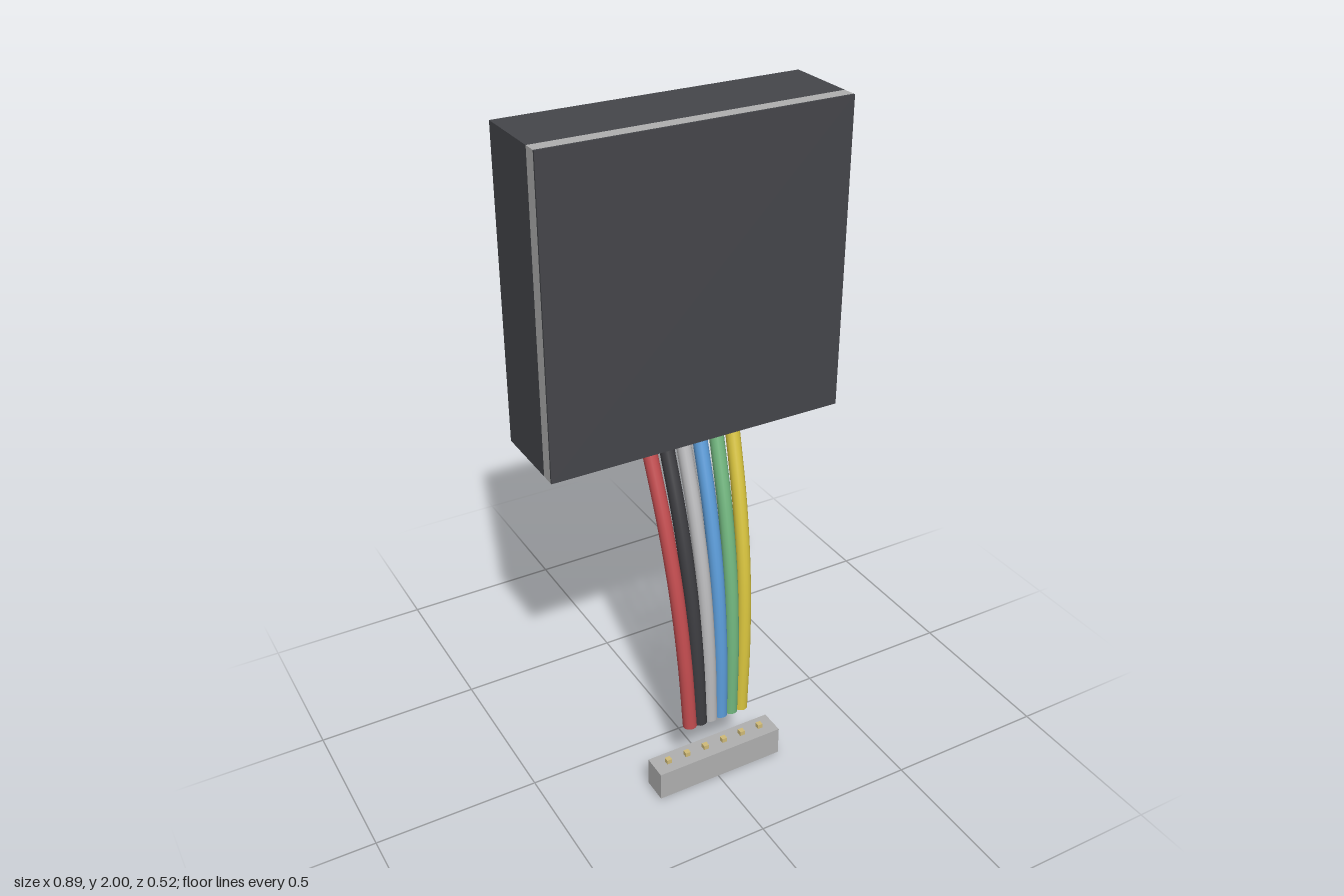
import * as THREE from 'three';

const mat = (color) => new THREE.MeshStandardMaterial({ color });

// Box given by its extents along each axis
function block(name, [x0, x1], [y0, y1], [z0, z1], color) {
  const mesh = new THREE.Mesh(new THREE.BoxGeometry(x1 - x0, y1 - y0, z1 - z0), mat(color));
  mesh.position.set((x0 + x1) / 2, (y0 + y1) / 2, (z0 + z1) / 2);
  mesh.name = name;
  return mesh;
}

// Flexible wire bending forward from the case, with closed ends
function wire(name, t, color) {
  const topX = t * 0.132, endX = t * 0.087, radius = 0.021;
  const path = [[1.14, 0.056], [1.08, 0.076], [0.89, 0.136], [0.68, 0.183], [0.45, 0.211], [0.22, 0.222]];
  const points = path.map(([y, z]) =>
    new THREE.Vector3(THREE.MathUtils.mapLinear(y, 1.11, 0.22, topX, endX), y, z));
  const curve = new THREE.CatmullRomCurve3(points);
  const group = new THREE.Group();
  group.name = name;
  group.add(new THREE.Mesh(new THREE.TubeGeometry(curve, 32, radius, 16), mat(color)));
  for (const u of [0, 1]) {
    const cap = new THREE.Mesh(new THREE.CircleGeometry(radius, 16), mat(color));
    cap.position.copy(curve.getPointAt(u));
    const outward = curve.getTangentAt(u).multiplyScalar(u ? 1 : -1);
    cap.quaternion.setFromUnitVectors(new THREE.Vector3(0, 0, 1), outward);
    group.add(cap);
  }
  return group;
}

export function createModel() {
  const model = new THREE.Group();
  model.name = 'sensorModule';

  // Square housing with glass layer and dark front face
  const wide = [-0.445, 0.445], tall = [1.11, 2];
  model.add(
    block('housing', wide, tall, [-0.139, 0.075], 0x45464a),
    block('coverGlass', wide, tall, [0.075, 0.114], 0xb0b0b0),
    block('frontFace', wide, tall, [0.114, 0.12], 0x45464a),
  );

  // Back plate with shield block and small components
  model.add(
    block('backPlate', [-0.43, 0.43], [1.125, 1.985], [-0.155, -0.139], 0xb0b0b0),
    block('shieldBlock', [-0.285, 0.285], [1.27, 1.845], [-0.241, -0.155], 0xbfbda8),
    block('goldPad', [0.152, 0.24], [1.71, 1.798], [-0.26, -0.241], 0xd0bb78),
    block('blueChip', [-0.312, -0.262], [1.178, 1.25], [-0.183, -0.16], 0x62b6cf),
    block('bottomSocket', [-0.31, 0.31], [1.092, 1.11], [-0.07, 0.055], 0x3f9bac),
  );

  // Fan of six coloured wires
  const wires = new THREE.Group();
  wires.name = 'wires';
  const colors = [0xc24c4f, 0x3c3c40, 0xb8b8ba, 0x5a9ad6, 0x6fb37c, 0xd4c03c];
  const names = ['red', 'black', 'grey', 'blue', 'green', 'yellow'];
  colors.forEach((c, i) => wires.add(wire(names[i] + 'Wire', (i - 2.5) / 2.5, c)));
  model.add(wires);

  // Loose connector with six through pins
  const connector = new THREE.Group();
  connector.name = 'connector';
  connector.add(block('connectorBody', [-0.206, 0.206], [0.014, 0.106], [0.182, 0.259], 0xb0b0b0));
  for (let i = 0; i < 6; i++) {
    const x = (i - 2.5) * 0.0635;
    connector.add(block('pin', [x - 0.008, x + 0.008], [0, 0.12], [0.212, 0.228], 0xd0bb78));
  }
  model.add(connector);

  return model;
}
